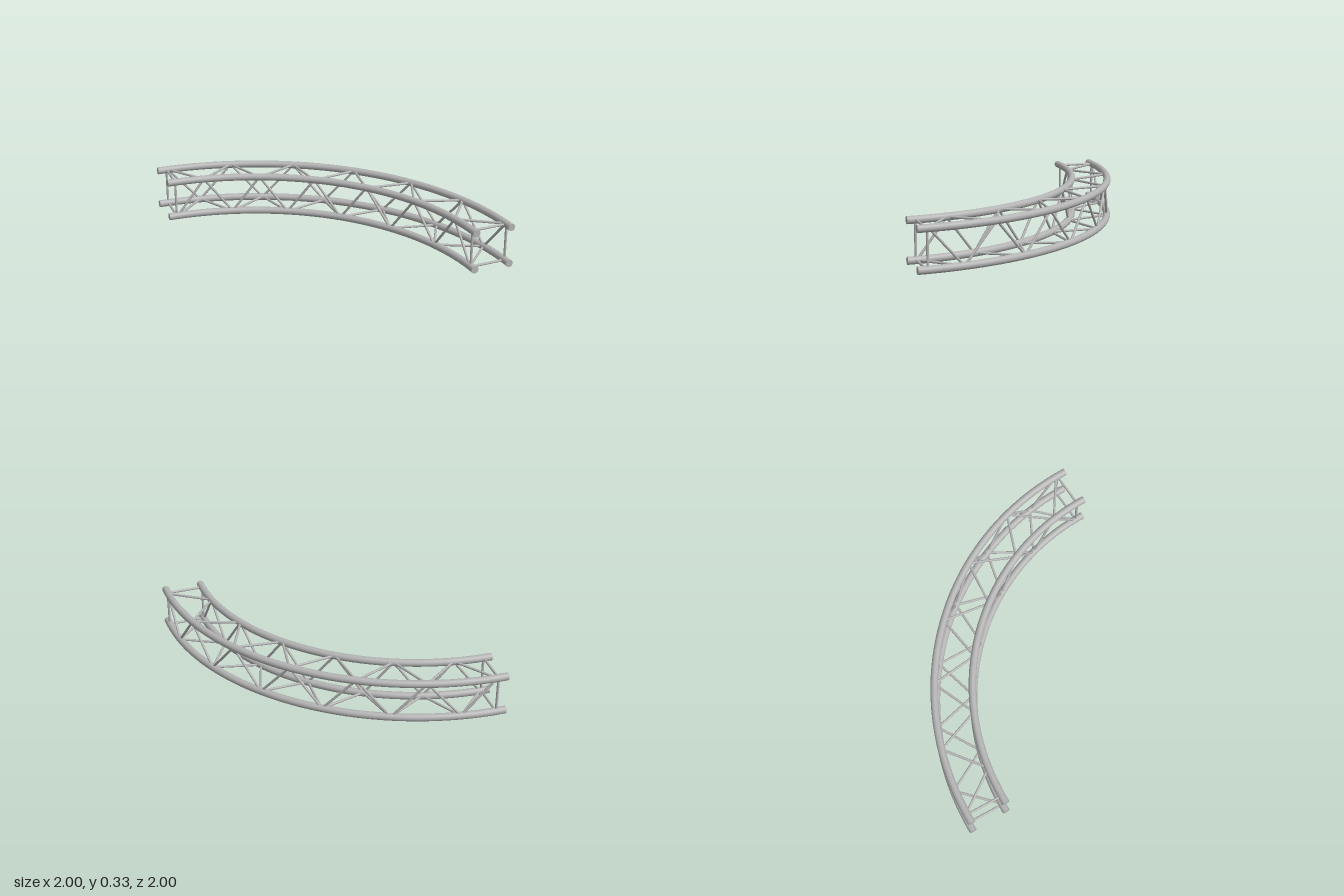
import * as THREE from 'three';

const INNER = 1.7, OUTER = 1.973;      // chord radii around the bend centre
const LOW = 0.027, HIGH = 0.302;       // chord heights
const CHORD = 0.027, BRACE = 0.009;    // tube radii
const CENTRE = new THREE.Vector3(-1, 0, 1);
const PANELS = 12;

const steel = new THREE.MeshStandardMaterial({ color: 0xb3b3b3 });
steel.name = 'light grey metal';

// Point on a chord; the angle runs from the back end (0) to the front end (90)
function onChord(radius, y, degrees) {
  const a = THREE.MathUtils.degToRad(degrees);
  return new THREE.Vector3(Math.sin(a) * radius, y, -Math.cos(a) * radius).add(CENTRE);
}

function add(parent, name, geometry) {
  const mesh = new THREE.Mesh(geometry, steel);
  mesh.name = name;
  parent.add(mesh);
  return mesh;
}

// Straight round bar between two points
function bar(parent, name, a, b) {
  const mesh = add(parent, name, new THREE.CylinderGeometry(BRACE, BRACE, a.distanceTo(b), 12));
  mesh.position.copy(a).lerp(b, 0.5);
  mesh.quaternion.setFromUnitVectors(new THREE.Vector3(0, 1, 0), b.clone().sub(a).normalize());
}

// Quarter-circle main tube with closed ends
function chord(parent, name, radius, y) {
  const tube = add(parent, name, new THREE.TorusGeometry(radius, CHORD, 20, 72, Math.PI / 2).rotateX(-Math.PI / 2));
  tube.position.set(CENTRE.x, y, CENTRE.z);
  const frontCap = add(parent, name + 'FrontCap', new THREE.CircleGeometry(CHORD, 20));
  frontCap.position.copy(onChord(radius, y, 90));
  const backCap = add(parent, name + 'BackCap', new THREE.CircleGeometry(CHORD, 20).rotateY(-Math.PI / 2));
  backCap.position.copy(onChord(radius, y, 0));
}

export function createModel() {
  const model = new THREE.Group();
  model.name = 'curvedTruss';

  // Four main tubes
  const chords = new THREE.Group();
  chords.name = 'mainTubes';
  model.add(chords);
  chord(chords, 'innerLowerTube', INNER, LOW);
  chord(chords, 'innerUpperTube', INNER, HIGH);
  chord(chords, 'outerLowerTube', OUTER, LOW);
  chord(chords, 'outerUpperTube', OUTER, HIGH);

  // Corners in order round the section; neighbours share a face
  const corners = [[INNER, LOW], [INNER, HIGH], [OUTER, HIGH], [OUTER, LOW]];
  const faces = ['inner', 'top', 'outer', 'bottom'];

  // Square frame near each end
  for (const [name, angle] of [['backEndFrame', 2], ['frontEndFrame', 88]]) {
    const frame = new THREE.Group();
    frame.name = name;
    model.add(frame);
    faces.forEach((face, i) => bar(frame, face + 'EndBar',
      onChord(...corners[i], angle), onChord(...corners[(i + 1) % 4], angle)));
  }

  // Zigzag on every face: even nodes use corners 0 and 2, odd nodes 1 and 3
  const start = 2.3, step = (90 - 2 * start) / PANELS;
  faces.forEach((face, i) => {
    const zigzag = new THREE.Group();
    zigzag.name = face + 'Bracing';
    model.add(zigzag);
    const pair = [corners[i], corners[(i + 1) % 4]];
    const node = (k) => onChord(...pair[(k + i) % 2], start + k * step);
    for (let k = 0; k < PANELS; k++) bar(zigzag, face + 'Diagonal', node(k), node(k + 1));
  });

  return model;
}
